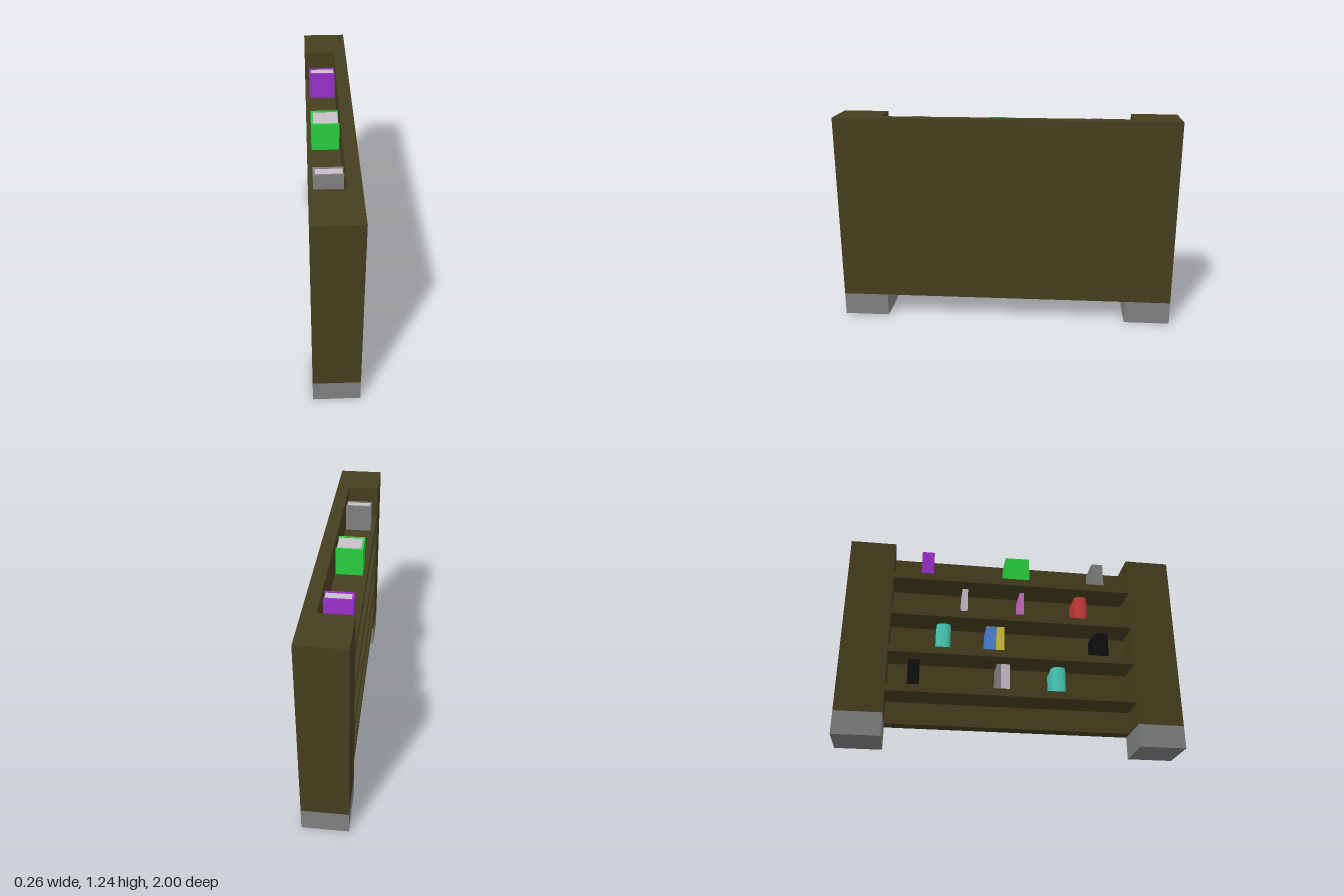
import * as THREE from 'three';

const BROWN = 0x463e1f, GREY = 0x808080, PAPER = 0xc8bec8, BLACK = 0x101010, TEAL = 0x4acebb;

function material(color) {
  return new THREE.MeshStandardMaterial({ color });
}

// Box given by its minimum and maximum on each axis
function block(name, color, [x0, x1], [y0, y1], [z0, z1]) {
  const mesh = new THREE.Mesh(new THREE.BoxGeometry(x1 - x0, y1 - y0, z1 - z0), material(color));
  mesh.position.set((x0 + x1) / 2, (y0 + y1) / 2, (z0 + z1) / 2);
  mesh.name = name;
  return mesh;
}

// U-shaped cover (spine towards -x) wrapped around a block of pages
function book(y, z0, z1, color, rounded) {
  const group = new THREE.Group();
  group.name = 'book';
  const h = (z1 - z0) / 2, height = 0.165;
  const back = 0.05, spine = -0.105;
  const t = Math.min(0.012, h * 0.3);
  const r = rounded ? h * 0.9 : 0;

  const cover = new THREE.Shape();
  cover.moveTo(back, -h);
  cover.lineTo(back, -h + t);
  cover.lineTo(spine + t + r * 0.4, -h + t);
  cover.lineTo(spine + t + r * 0.4, h - t);
  cover.lineTo(back, h - t);
  cover.lineTo(back, h);
  cover.lineTo(spine + r, h);
  if (rounded) {
    cover.quadraticCurveTo(spine, h, spine, h - r);
    cover.lineTo(spine, -h + r);
    cover.quadraticCurveTo(spine, -h, spine + r, -h);
  } else {
    cover.lineTo(spine, -h);
  }
  cover.closePath();

  const geometry = new THREE.ExtrudeGeometry(cover, { depth: height, bevelEnabled: false, curveSegments: 6 });
  geometry.rotateX(-Math.PI / 2);
  const coverMesh = new THREE.Mesh(geometry, material(color));
  coverMesh.name = 'bookCover';
  group.add(coverMesh);
  group.add(block('bookPages', PAPER,
    [spine + t + r * 0.4, back - 0.006], [0.004, height - 0.004], [-h + t, h - t]));
  group.position.set(0, y, (z0 + z1) / 2);
  return group;
}

export function createModel() {
  const model = new THREE.Group();
  model.name = 'bookcase';
  const W = 0.13, H = 1.235, FOOT = 0.135, INNER = 0.73, BACK = 0.055;

  // Back panel, with end pillars and feet at both ends
  model.add(block('backPanel', BROWN, [BACK, W], [FOOT, H], [-INNER, INNER]));
  for (const s of [-1, 1]) {
    const span = s > 0 ? [INNER, 1] : [-1, -INNER];
    model.add(block('endPillar', BROWN, [-W, W], [FOOT, H], span));
    model.add(block('foot', GREY, [-W, W], [0, FOOT], span));
  }

  // Shelves from top to bottom, each with its books: z start, z end, colour, rounded spine
  const shelves = [
    [1.045, [
      [-0.565, -0.49, 0x9a30cc, false],
      [-0.045, 0.105, 0x28d040, false],
      [0.51, 0.58, GREY, false],
    ]],
    [0.8, [
      [-0.31, -0.275, PAPER, false],
      [0.043, 0.07, 0xc86ec0, false],
      [0.39, 0.47, 0xc83c3c, true],
    ]],
    [0.555, [
      [-0.457, -0.37, TEAL, true],
      [-0.16, -0.1, 0x4e82d2, false],
      [-0.095, -0.05, 0xd0c040, false],
      [0.5, 0.595, BLACK, true],
    ]],
    [0.312, [
      [-0.61, -0.543, BLACK, false],
      [-0.095, -0.07, GREY, false],
      [-0.068, -0.017, PAPER, false],
      [0.233, 0.32, TEAL, true],
    ]],
  ];
  for (const [y, books] of shelves) {
    model.add(block('shelf', BROWN, [-W, BACK], [y - 0.045, y], [-INNER, INNER]));
    for (const [z0, z1, color, rounded] of books) model.add(book(y, z0, z1, color, rounded));
  }
  return model;
}
